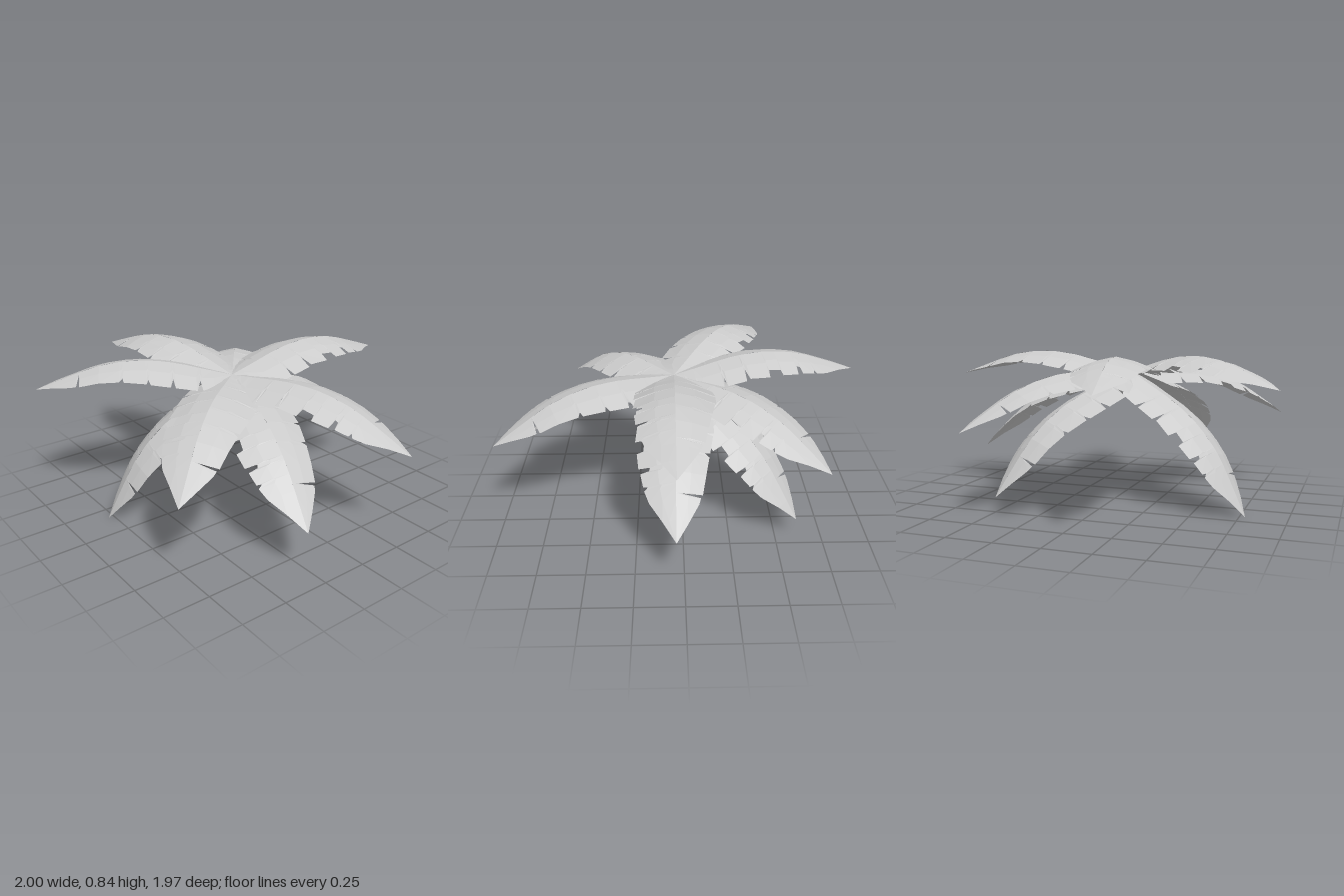
import * as THREE from 'three';

// Torn leaf outline on each side of the midrib: [fraction of length, half width]
const RIGHT = [[0, 0.005], [0.06, 0.06], [0.12, 0.16], [0.16, 0.2], [0.26, 0.21], [0.27, 0.15], [0.28, 0.21],
  [0.38, 0.21], [0.385, 0.13], [0.4, 0.2], [0.5, 0.21], [0.505, 0.16], [0.56, 0.165], [0.565, 0.2], [0.64, 0.19],
  [0.645, 0.13], [0.66, 0.135], [0.665, 0.18], [0.73, 0.165], [0.735, 0.14], [0.75, 0.16], [0.81, 0.135], [0.9, 0.07], [1, 0]];
const LEFT = [[0, 0.005], [0.06, 0.07], [0.12, 0.15], [0.19, 0.19], [0.2, 0.12], [0.22, 0.2], [0.33, 0.21],
  [0.34, 0.15], [0.355, 0.21], [0.45, 0.205], [0.46, 0.17], [0.47, 0.2], [0.57, 0.18], [0.575, 0.15], [0.59, 0.175],
  [0.68, 0.155], [0.775, 0.135], [0.78, 0.03], [0.79, 0.125], [0.82, 0.115], [0.91, 0.06], [1, 0]];

// Arched midrib: x is the reach outwards, y the height
const rib = new THREE.CatmullRomCurve3([[0, 0], [0.15, 0.04], [0.32, 0.085], [0.5, 0.107], [0.7, 0.09], [0.88, 0.035], [1.06, -0.03]]
  .map(([x, y]) => new THREE.Vector3(x, y, 0)));

// Leaf tips; every leaf grows from the crown
const CROWN = new THREE.Vector3(0.04, 0.738, 0.08);
const TIPS = {
  upperLeaf: [[0.04, 0.7, -0.99], [-0.49, 0.7, 0.98], [-1, 0.7, 0.25]],
  middleLeaf: [[1, 0.5, -0.3], [0.67, 0.46, 0.85], [-0.75, 0.46, -0.56]],
  lowerLeaf: [[0.93, 0.26, 0.31], [0.04, 0.26, -0.85], [-0.61, 0.11, -0.44], [-0.16, 0, 0.78]],
};

// Point on the folded blade, sideways by s from the midrib; the leaf points to -z
function bladePoint(t, s) {
  const p = rib.getPoint(t);
  const a = Math.abs(s);
  return [s, p.y - 0.16 * a - 0.8 * a * a, -p.x];
}

function leafGeometry() {
  const pos = [];
  for (const [side, outline] of [[1, RIGHT], [-1, LEFT]]) {
    for (let i = 0; i < outline.length - 1; i++) {
      const [t0, w0] = outline[i], [t1, w1] = outline[i + 1];
      const steps = 2;
      for (let k = 0; k < steps; k++) {
        const f0 = side * k / steps, f1 = side * (k + 1) / steps;
        const a = bladePoint(t0, w0 * f0), b = bladePoint(t0, w0 * f1);
        const c = bladePoint(t1, w1 * f1), d = bladePoint(t1, w1 * f0);
        const tris = side > 0 ? [a, b, c, a, c, d] : [a, c, b, a, d, c];
        tris.forEach((p) => pos.push(...p));
      }
    }
  }
  const geo = new THREE.BufferGeometry();
  geo.setAttribute('position', new THREE.Float32BufferAttribute(pos, 3));
  geo.computeVertexNormals();
  return geo;
}

export function createModel() {
  const plant = new THREE.Group();
  plant.name = 'palmCrown';
  const material = new THREE.MeshStandardMaterial({ color: 0xcccccc, flatShading: true, side: THREE.DoubleSide });
  const geo = leafGeometry();
  // Turn and tilt one leaf shape towards each tip
  for (const [name, tips] of Object.entries(TIPS)) {
    tips.forEach((tip, i) => {
      const d = new THREE.Vector3(...tip).sub(CROWN);
      const leaf = new THREE.Mesh(geo, material);
      leaf.name = name + (i + 1);
      leaf.position.copy(CROWN);
      leaf.rotation.set(Math.atan2(d.y, Math.hypot(d.x, d.z)) + Math.atan2(0.03, 1.06), Math.atan2(-d.x, -d.z), 0, 'YXZ');
      leaf.scale.setScalar(d.length() / Math.hypot(1.06, 0.03));
      plant.add(leaf);
    });
  }
  return plant;
}
